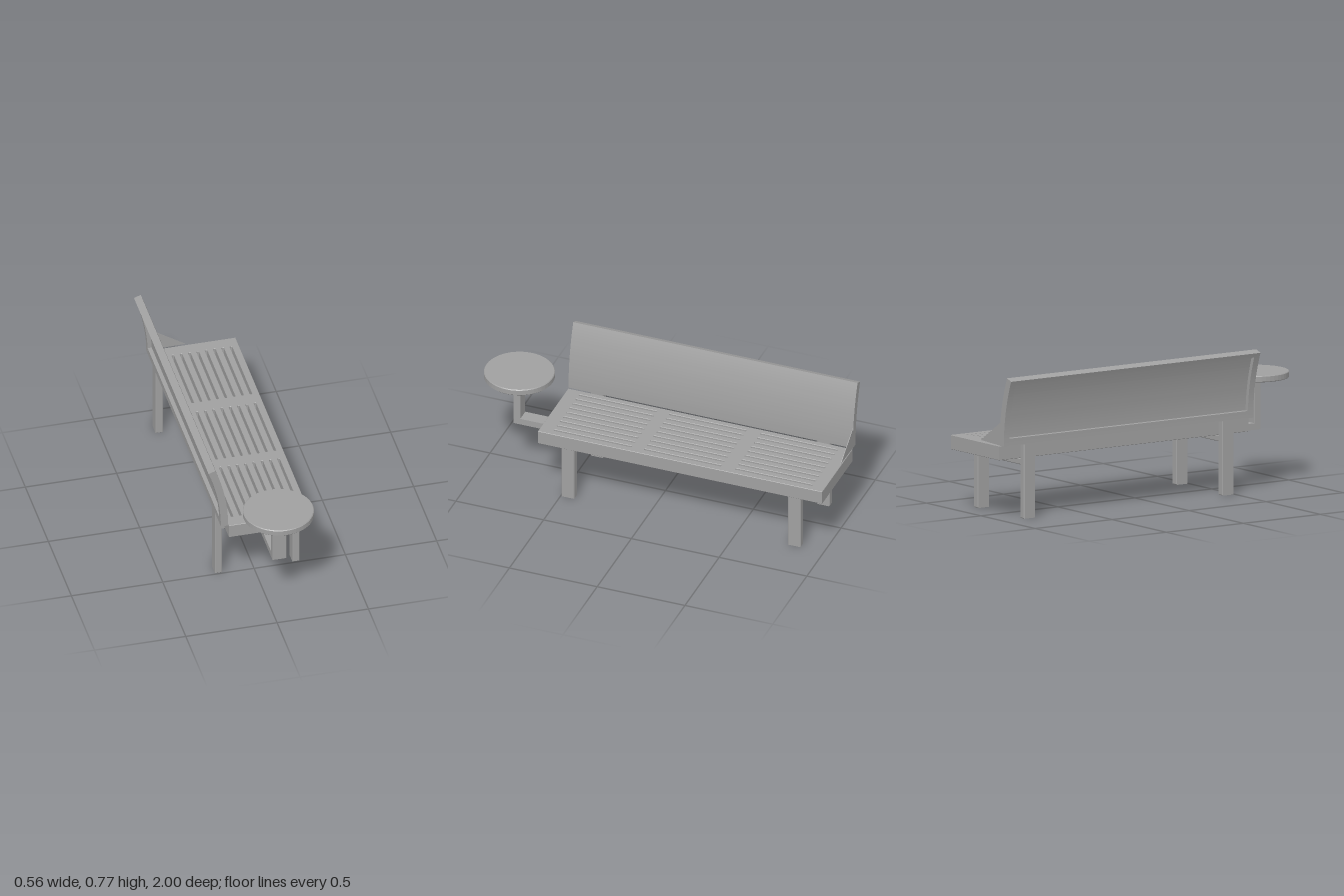
import * as THREE from 'three';

const metal = new THREE.MeshStandardMaterial({ color: 0xa0a0a0 });
metal.name = 'grey metal';

const B = 0.004; // small edge bevel

// Extrude a shape to an exact depth, with softly chamfered edges
function slab(shape, depth, curveSegments = 8, bevel = B) {
  return new THREE.ExtrudeGeometry(shape, {
    depth: depth - 2 * bevel, curveSegments, bevelEnabled: bevel > 0,
    bevelSize: bevel, bevelOffset: -bevel, bevelThickness: bevel, bevelSegments: 1,
  }).translate(0, 0, bevel);
}

function polygon(points) {
  return new THREE.Shape(points.map(([x, y]) => new THREE.Vector2(x, y)));
}

function add(group, name, geometry) {
  const mesh = new THREE.Mesh(geometry, metal);
  mesh.name = name;
  group.add(mesh);
  return mesh;
}

// Box given by its lower and upper corners
function box(group, name, [x0, y0, z0], [x1, y1, z1]) {
  const shape = polygon([[x0, y0], [x1, y0], [x1, y1], [x0, y1]]);
  return add(group, name, slab(shape, z1 - z0, 1, 0.002).translate(0, 0, z0));
}

// Seat with three rows of nine long slots
function seatGeometry() {
  const shape = polygon([[-0.168, -0.62], [0.277, -0.62], [0.277, 1], [-0.168, 1]]);
  const r = 0.0065;
  for (const [z0, z1] of [[-0.93, -0.49], [-0.41, 0.03], [0.1, 0.545]]) {
    for (let i = 0; i < 9; i++) {
      const x = -0.13 + i * 0.0455;
      const hole = new THREE.Path();
      hole.absarc(x, -z0 - r, r, 0, Math.PI, false);
      hole.absarc(x, -z1 + r, r, Math.PI, Math.PI * 2, false);
      hole.closePath();
      shape.holes.push(hole);
    }
  }
  return slab(shape, 0.077, 4, 0.002).rotateX(-Math.PI / 2).translate(0, 0.323, 0);
}

// Curved slab between two radii and two angles, along z
const CX = -1.202, CY = 0.403, OUTER = 1.03, INNER = 0.99, SWEEP = 0.37;
function arcSlab(r0, r1, a0, a1, z0, z1) {
  const shape = new THREE.Shape();
  shape.absarc(CX, CY, r1, a0, a1, false);
  shape.absarc(CX, CY, r0, a1, a0, true);
  shape.closePath();
  return slab(shape, z1 - z0, 12, 0).translate(0, 0, z0);
}

export function createModel() {
  const model = new THREE.Group();
  model.name = 'bench';

  add(model, 'seat', seatGeometry());

  // Backrest: curved front sheet with a raised rim behind
  const back = new THREE.Group();
  back.name = 'backrest';
  model.add(back);
  const mid = OUTER - 0.018;
  add(back, 'backSheet', arcSlab(mid, OUTER, 0, SWEEP, -1, 0.62));
  add(back, 'rimBottom', arcSlab(INNER, mid, 0, 0.04, -0.965, 0.585));
  add(back, 'rimTop', arcSlab(INNER, mid, SWEEP - 0.025, SWEEP, -0.965, 0.585));
  add(back, 'rimFarEnd', arcSlab(INNER, mid, 0, SWEEP, -1, -0.965));
  add(back, 'rimNearEnd', arcSlab(INNER, mid, 0, SWEEP, 0.585, 0.62));

  // Thin triangular gusset at one end
  const gusset = polygon([[-0.175, 0.404], [0, 0.41], [-0.177, 0.526]]);
  add(model, 'gusset', slab(gusset, 0.003, 1, 0).translate(0, 0, -1));

  // Leg frames: rear leg rises to carry the backrest
  const frame = polygon([
    [-0.212, 0.002], [-0.172, 0.002], [-0.172, 0.289], [0.212, 0.289], [0.212, 0.002],
    [0.252, 0.002], [0.252, 0.323], [-0.172, 0.323], [-0.172, 0.405], [-0.212, 0.405],
  ]);
  for (const z of [-0.868, 0.421]) {
    add(model, 'legFrame', slab(frame, 0.074).translate(0, 0, z));
  }

  // Side table on a cantilevered arm
  const table = new THREE.Group();
  table.name = 'sideTable';
  model.add(table);
  box(table, 'mountPlate', [-0.028, 0.29, 0.495], [0.138, 0.323, 0.524]);
  box(table, 'arm', [0.018, 0.29, 0.5], [0.093, 0.325, 0.8]);
  box(table, 'post', [0.018, 0.29, 0.792], [0.093, 0.57, 0.832]);
  const disc = new THREE.Shape();
  disc.absarc(0, 0, 0.189, 0, Math.PI * 2, false);
  add(table, 'tableTop', slab(disc, 0.035, 24).rotateX(-Math.PI / 2)).position.set(0.055, 0.568, 0.811);

  return model;
}
